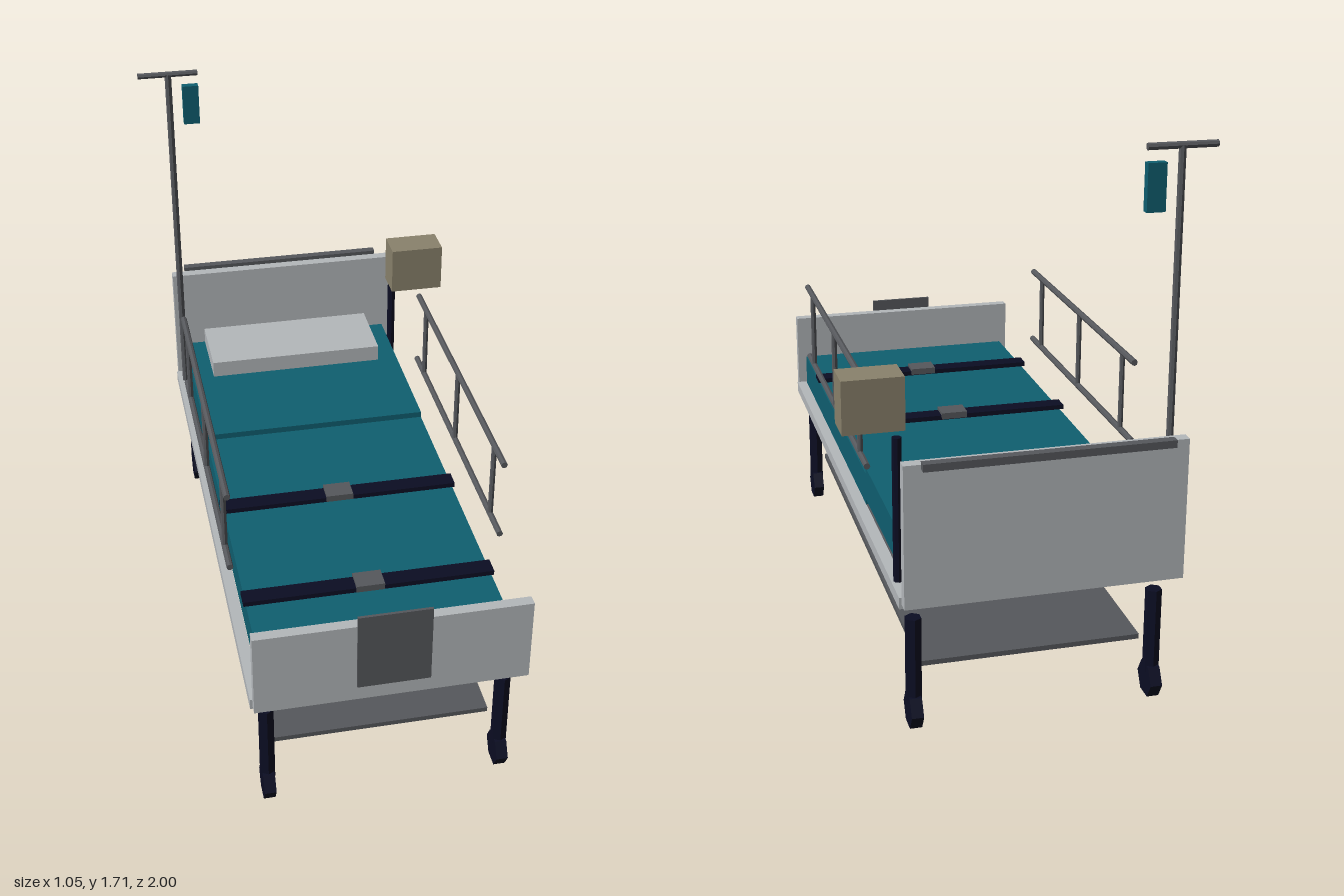
import * as THREE from 'three';

const mat = (name, color) => Object.assign(new THREE.MeshStandardMaterial({ color }), { name });

export function createModel() {
  const white = mat('paleGrey', 0xb4b8bb);
  const teal = mat('teal', 0x0f5f70);
  const steel = mat('steelGrey', 0x56585c);
  const dark = mat('darkNavy', 0x0b0d23);
  const tan = mat('tan', 0x8a826c);

  const bed = new THREE.Group();
  bed.name = 'hospitalBed';
  const MID = -0.025; // the bed sits slightly off the model's centre

  const add = (name, geometry, material, x, y, z) => {
    const mesh = new THREE.Mesh(geometry, material);
    mesh.name = name;
    mesh.position.set(x, y, z);
    bed.add(mesh);
    return mesh;
  };
  // box given by its lower and upper limits on each axis
  const box = (name, material, [x0, x1], [y0, y1], [z0, z1]) =>
    add(name, new THREE.BoxGeometry(x1 - x0, y1 - y0, z1 - z0), material,
      (x0 + x1) / 2, (y0 + y1) / 2, (z0 + z1) / 2);
  // faceted round bar along one axis
  const bar = (name, material, axis, r, length, x, y, z, sides = 8) => {
    const g = new THREE.CylinderGeometry(r, r, length, sides).toNonIndexed();
    if (axis === 'x') g.rotateZ(Math.PI / 2);
    if (axis === 'z') g.rotateX(Math.PI / 2);
    g.computeVertexNormals();
    return add(name, g, material, x, y, z);
  };

  // Mattress in two sections, the head section slightly raised
  box('lowerMattress', teal, [-0.415, 0.367], [0.455, 0.563], [-0.267, 0.941]);
  box('upperMattress', teal, [-0.415, 0.367], [0.472, 0.584], [-0.92, -0.267]);
  box('pillow', white, [-0.34, 0.288], [0.6, 0.659], [-0.889, -0.63]);

  // Head and foot ends
  box('headboard', white, [-0.445, 0.395], [0.434, 0.874], [-0.969, -0.933]);
  box('footboard', white, [-0.445, 0.395], [0.434, 0.714], [0.957, 0.991]);
  box('headHandle', steel, [-0.395, 0.345], [0.863, 0.886], [-1, -0.972]);
  box('chartBoard', steel, [-0.137, 0.087], [0.488, 0.753], [0.991, 1]);

  // Undershelf
  box('shelf', steel, [-0.369, 0.319], [0.168, 0.184], [-0.827, 0.85]);

  for (const side of [-1, 1]) {
    // Frame beam
    const beamX = MID + side * 0.409;
    box('frameBeam', white, [beamX - 0.018, beamX + 0.018], [0.419, 0.455], [-0.93, 0.955]);

    // Guard rail: two long bars and three posts
    const railX = MID + side * 0.428;
    for (const y of [0.679, 0.942]) bar('guardRail', steel, 'z', 0.0105, 1.09, railX, y, 0.06);
    for (const z of [-0.375, 0.06, 0.495]) bar('guardPost', steel, 'y', 0.009, 0.263, railX, 0.81, z);

    // Legs with six-sided casters
    const legX = MID + side * 0.372;
    for (const z of [-0.862, 0.892]) {
      bar('leg', dark, 'y', 0.0255, 0.275, legX, 0.2155, z, 6);
      const wheel = bar('casterWheel', dark, 'x', 0.057, 0.037, legX, 0.0495, z, 6);
      wheel.name = 'casterWheel';
    }
  }

  // Straps with buckles
  for (const z of [0.155, 0.637]) {
    box('strap', dark, [-0.424, 0.373], [0.568, 0.584], [z - 0.029, z + 0.029]);
    box('buckle', steel, [-0.07, 0.02], [0.572, 0.594], [z - 0.035, z + 0.035]);
  }

  // Drip stand with hanging bag
  bar('dripPole', steel, 'y', 0.0115, 1.25, -0.425, 1.08, -0.865);
  bar('dripCrossbar', steel, 'x', 0.0105, 0.208, -0.426, 1.704, -0.865);
  box('dripBag', teal, [-0.378, -0.322], [1.52, 1.66], [-0.877, -0.851]);

  // Monitor on its post
  bar('monitorPost', dark, 'y', 0.0145, 0.447, 0.382, 0.681, -0.827);
  box('monitor', tan, [0.337, 0.523], [0.888, 1.053], [-0.743, -0.631]);

  return bed;
}
